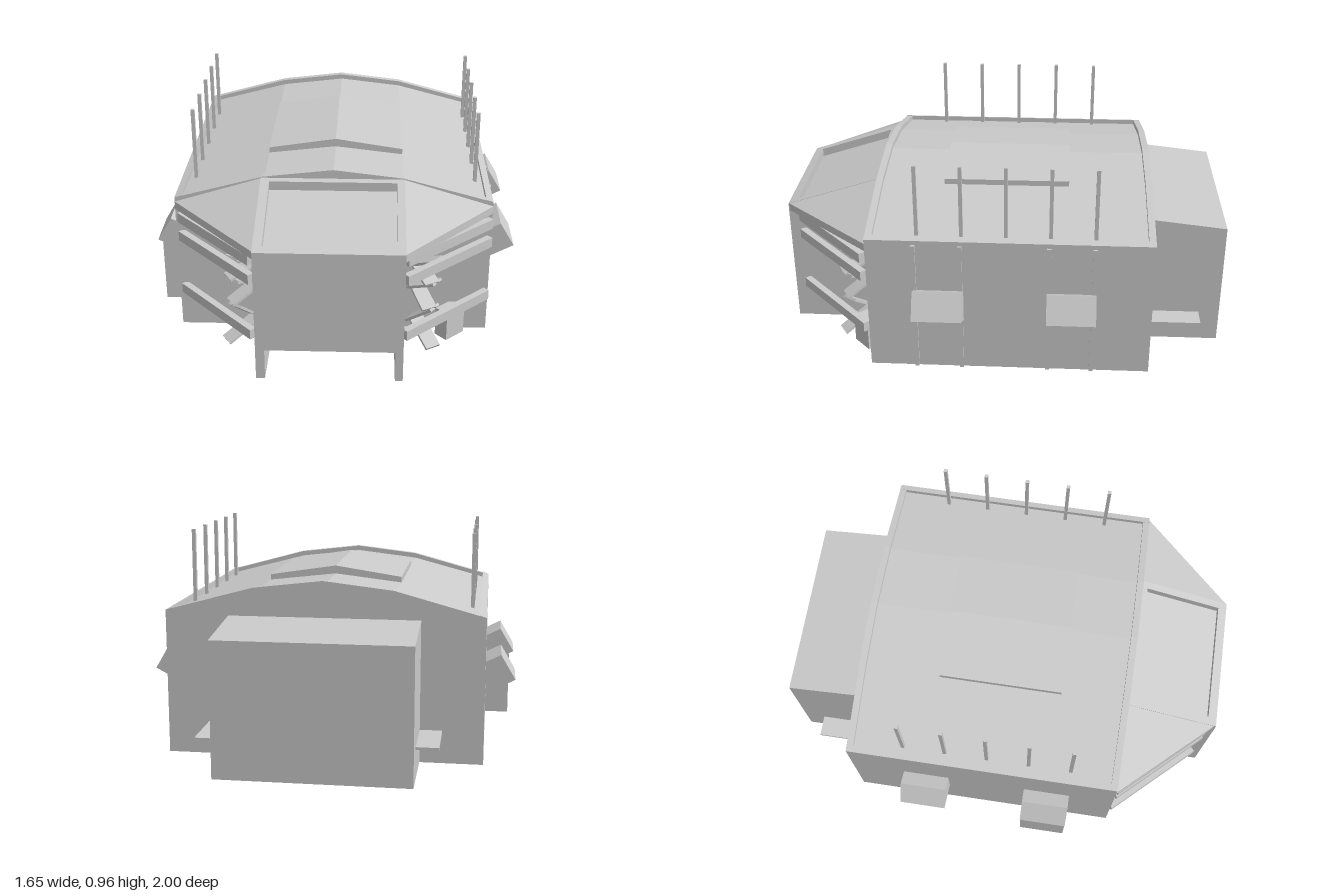
import * as THREE from 'three';
import { ConvexGeometry } from 'three/addons/geometries/ConvexGeometry.js';

const grey = new THREE.MeshStandardMaterial({ color: 0xcccccc, flatShading: true });

export function createModel() {
  const model = new THREE.Group();
  model.name = 'building';
  model.rotation.y = 0.02;

  const add = (name, geometry) => {
    const mesh = new THREE.Mesh(geometry, grey);
    mesh.name = name;
    model.add(mesh);
    return mesh;
  };
  // Box given by its extents
  const box = (name, x0, x1, y0, y1, z0, z1) => {
    const mesh = add(name, new THREE.BoxGeometry(x1 - x0, y1 - y0, z1 - z0));
    mesh.position.set((x0 + x1) / 2, (y0 + y1) / 2, (z0 + z1) / 2);
    return mesh;
  };
  const extrude = (points, depth) => new THREE.ExtrudeGeometry(
    new THREE.Shape(points.map(([x, y]) => new THREE.Vector2(x, y))), { depth, bevelEnabled: false });
  // Outline in (x, y), swept along z
  const sweepZ = (name, points, z0, z1) => add(name, extrude(points, z1 - z0).translate(0, 0, z0));
  // Outline in (z, y), swept along x
  const sweepX = (name, points, x0, x1) =>
    add(name, extrude(points, x1 - x0).rotateY(-Math.PI / 2).translate(x1, 0, 0));
  // Flat board running from a to b, its width horizontal
  const board = (name, a, b, width, thickness) => {
    const mesh = add(name, new THREE.BoxGeometry(width, thickness, a.distanceTo(b)));
    mesh.position.copy(a).add(b).multiplyScalar(0.5);
    mesh.lookAt(b);
    return mesh;
  };

  // Main hall with a low faceted roof and raised rim
  const W = 0.686, back = -0.66, front = 0.578;
  const ridge = (w, side, shoulder, peak) =>
    [[w, side], [0.3, shoulder], [0, peak], [-0.3, shoulder], [-w, side]];
  sweepZ('mainHall', [[-W, 0], [W, 0], ...ridge(W, 0.615, 0.717, 0.752)], back, front);
  const gable = [...ridge(W, 0.635, 0.74, 0.775), [-W, 0.58], [W, 0.58]];
  sweepZ('backParapet', gable, back, back + 0.03);
  sweepZ('frontParapet', gable, front - 0.03, front);
  for (const s of [-1, 1]) {
    sweepZ('sideParapet', [[s * W, 0.6], [s * W, 0.635], [s * (W - 0.03), 0.645], [s * (W - 0.03), 0.6]],
      back, front);
  }

  // Raised roof panel
  sweepZ('roofPanel', [[-0.3, 0.71], [0.3, 0.71], [0.3, 0.742], [0, 0.788], [-0.3, 0.742]], -0.29, 0.27);

  // Two rows of roof poles
  for (const s of [-1, 1]) {
    for (let i = 0; i < 5; i++) {
      const z = -0.408 + i * 0.192;
      box('roofPole', s * 0.623 - 0.008, s * 0.623 + 0.008, 0.61, 0.957, z - 0.008, z + 0.008);
    }
  }

  // Rear annex with sloping top and a shelf at each side
  sweepX('rearAnnex', [[back, 0], [back, 0.617], [-0.993, 0.58], [-0.993, 0]], -0.415, 0.41);
  box('sideShelf', 0.405, 0.505, 0.132, 0.144, -0.9, back);
  box('sideShelf', -0.51, -0.41, 0.132, 0.144, -0.9, back);

  // Front porch: hollow shell, open at the foot, with a sunken sloping top
  const nose = 0.993, slope = [[front, 0], [nose, 0], [nose, 0.6], [front, 0.735]];
  sweepX('porchSide', slope, -0.31, -0.272);
  sweepX('porchSide', slope, 0.272, 0.305);
  sweepX('porchFront', [[nose - 0.04, 0.14], [nose, 0.14], [nose, 0.6], [nose - 0.04, 0.613]], -0.272, 0.272);
  sweepX('porchBackRim', [[front, 0.62], [0.6, 0.62], [0.6, 0.728], [front, 0.735]], -0.272, 0.272);
  sweepX('porchRoof', [[0.59, 0.66], [0.96, 0.54], [0.96, 0.572], [0.59, 0.692]], -0.272, 0.272);
  const floor = add('porchFloor', new THREE.PlaneGeometry(0.61, nose - front).rotateX(Math.PI / 2));
  floor.position.set(0, 0.001, (nose + front) / 2);

  // Open corner bays: canopy, diagonal rails and zigzag ramps
  for (const s of [-1, 1]) {
    const corners = [[0.3, 0.735, front], [W, 0.615, front], [0.305, 0.6, 0.988]];
    const points = corners.flatMap(([x, y, z]) =>
      [new THREE.Vector3(s * x, y, z), new THREE.Vector3(s * x, y - 0.035, z)]);
    add('cornerCanopy', new ConvexGeometry(points));

    for (const y of [0.543, 0.453, 0.19]) {
      board('cornerRail', new THREE.Vector3(s * 0.672, y, 0.585), new THREE.Vector3(s * 0.315, y, 0.94), 0.03, 0.045);
    }

    const zigzag = [[0.13, 0.43], [0, 0.37], [0.13, 0.32], [0, 0.26], [0.12, 0.19], [0, 0.09], [0.15, 0.008]]
      .map(([d, y]) => new THREE.Vector3(s * (0.35 + d * 0.707), y, 0.635 + d * 0.707));
    for (let i = 1; i < zigzag.length; i++) board('zigzagRamp', zigzag[i - 1], zigzag[i], 0.07, 0.012);
  }
  const locker = box('cornerLocker', 0.465, 0.575, 0, 0.135, 0.585, 0.655);
  locker.rotation.y = 0.75;

  // Tilted window hoods, open below
  const hood = (s, z0, z1) => {
    const place = (pts) => pts.map(([o, y]) => [s * (0.682 + o), y]);
    const cheek = place([[0, 0.39], [0.07, 0.425], [0.135, 0.315], [0, 0.243]]);
    const shell = place([[0, 0.39], [0.07, 0.425], [0.135, 0.315], [0.122, 0.308], [0.064, 0.405], [0, 0.372]]);
    sweepZ('hoodCheek', cheek, z0, z0 + 0.018);
    sweepZ('hoodCheek', cheek, z1 - 0.018, z1);
    sweepZ('hoodCover', shell, z0, z1);
  };
  for (const s of [-1, 1]) {
    hood(s, -0.415, -0.203);
    hood(s, 0.158, 0.372);
  }

  // Side entrance below one hood
  box('sideEntrance', -0.796, -0.68, 0.005, 0.3, 0.158, 0.372);

  // Wall posts beside the hoods on the left side
  for (const z of [-0.405, -0.21, 0.17, 0.37]) {
    box('wallPost', 0.68, 0.696, 0, 0.615, z - 0.009, z + 0.009);
  }

  const group = new THREE.Group();
  group.add(model);
  return group;
}
